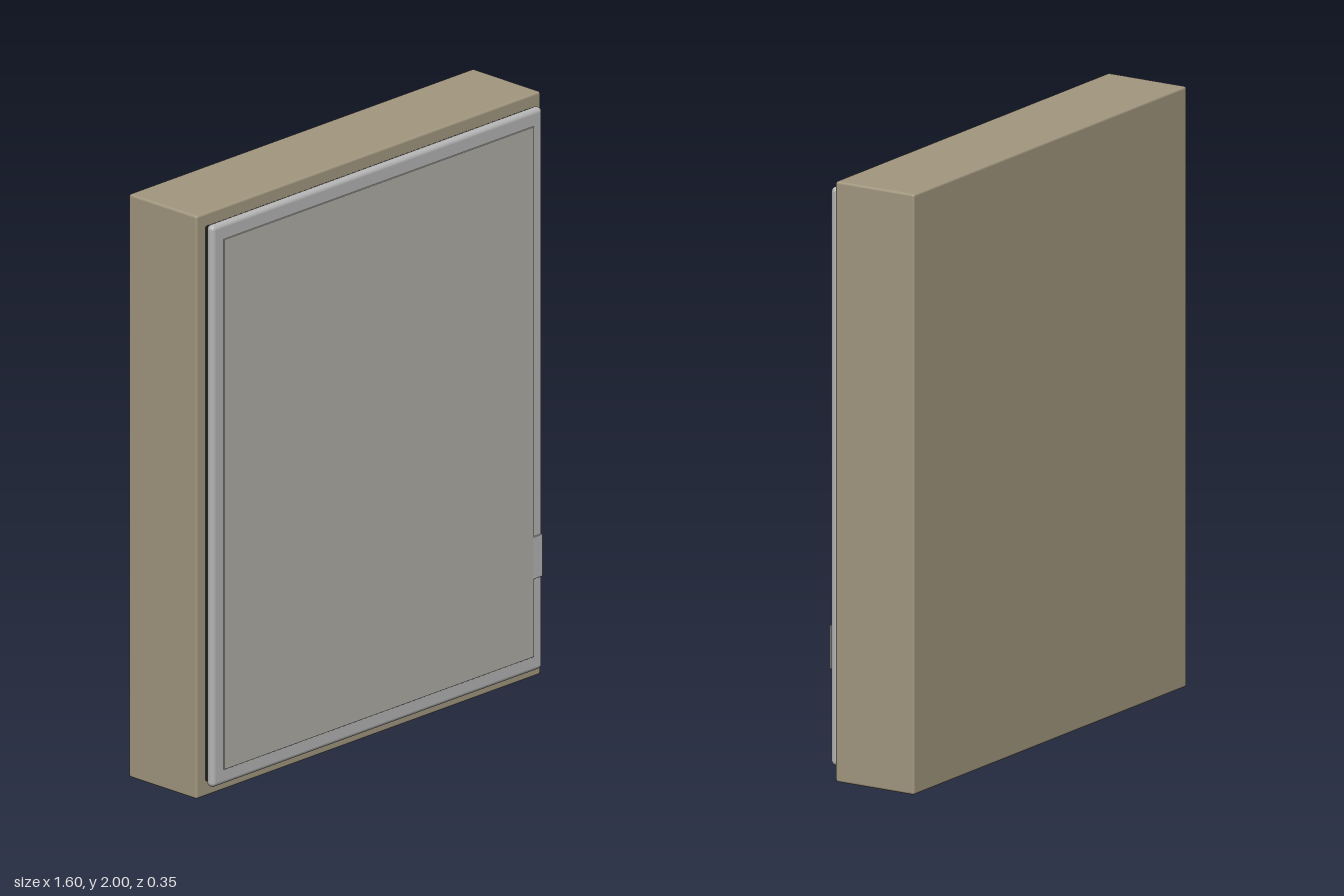
import * as THREE from 'three';
import { RoundedBoxGeometry } from 'three/addons/geometries/RoundedBoxGeometry.js';

const paint = (color) => new THREE.MeshStandardMaterial({ color });

export function createModel() {
  const group = new THREE.Group();

  // Adds a rounded slab spanning the given ranges
  function slab(name, [x0, x1], [y0, y1], [z0, z1], radius, material, segments = 3) {
    const geometry = new RoundedBoxGeometry(x1 - x0, y1 - y0, z1 - z0, segments, radius);
    const mesh = new THREE.Mesh(geometry, material);
    mesh.name = name;
    mesh.position.set((x0 + x1) / 2, (y0 + y1) / 2, (z0 + z1) / 2);
    group.add(mesh);
  }

  const shell = paint(0xa2977f);
  const doorGrey = paint(0xb4b4b4);
  const panelGrey = paint(0xb0aea6);
  const rubber = paint(0x1c1c1c);

  // Cabinet shell and the dark gasket behind the door
  slab('cabinetBody', [-0.8, 0.8], [0, 2], [-0.175, 0.127], 0.008, shell);
  slab('doorGasket', [-0.757, 0.757], [0.052, 1.955], [0.115, 0.145], 0.004, rubber);

  // Door with a fully rounded rim, and its slightly raised front panel
  slab('door', [-0.77, 0.765], [0.04, 1.967], [0.138, 0.171], 0.016, doorGrey, 5);
  slab('doorPanel', [-0.72, 0.72], [0.093, 1.912], [0.155, 0.175], 0.002, panelGrey);

  // Small latch plate on the opening edge
  slab('latch', [0.712, 0.758], [0.36, 0.505], [0.145, 0.1755], 0.002, doorGrey);

  return group;
}
